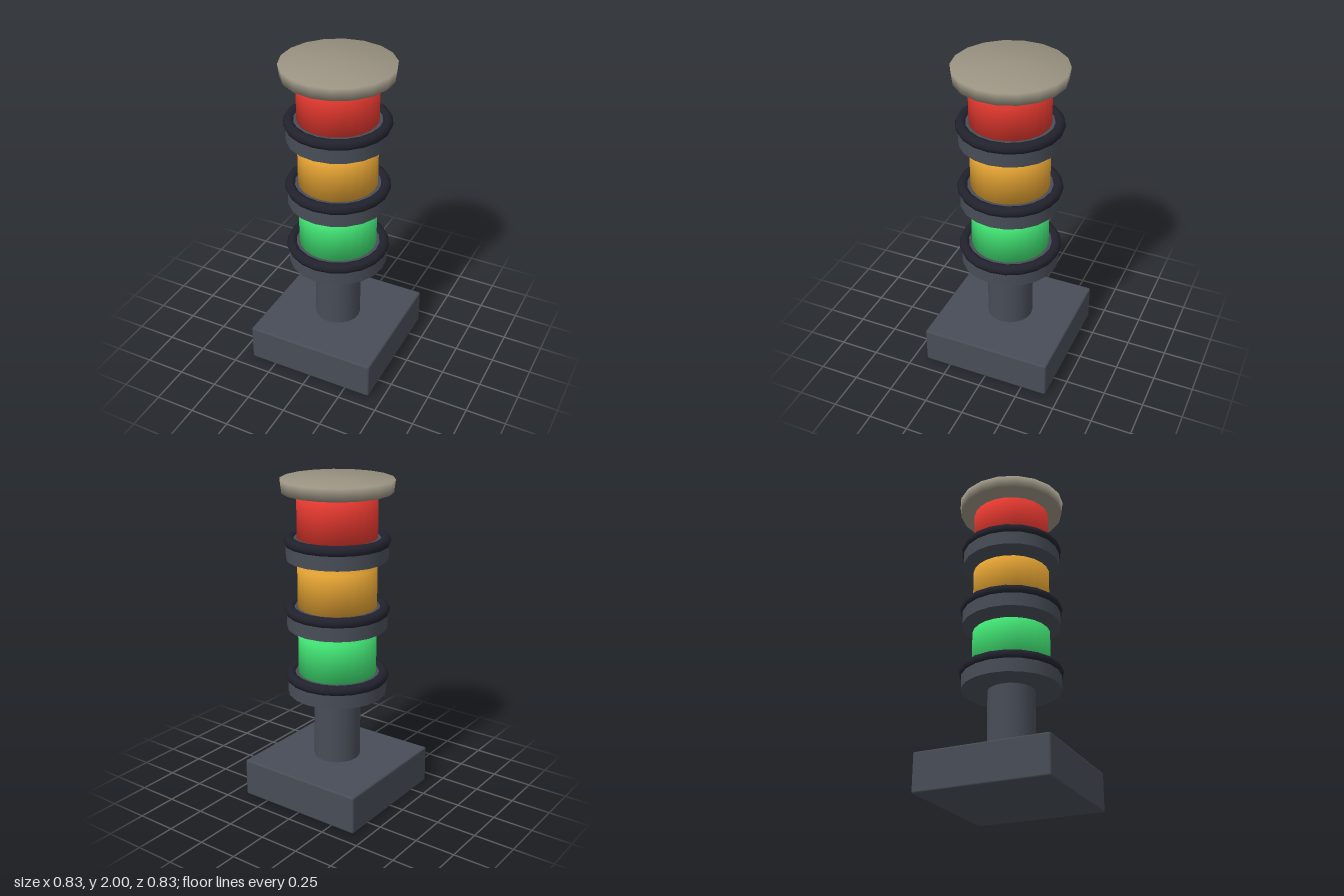
import * as THREE from 'three';
import { mergeVertices } from 'three/addons/utils/BufferGeometryUtils.js';
import { RoundedBoxGeometry } from 'three/addons/geometries/RoundedBoxGeometry.js';

const flat = (name, color) => {
  const m = new THREE.MeshStandardMaterial({ color });
  m.name = name;
  return m;
};

// Weld the edges so that normals run softly across them
function soften(geometry) {
  geometry.deleteAttribute('normal');
  geometry.deleteAttribute('uv');
  const g = mergeVertices(geometry, 1e-4);
  g.computeVertexNormals();
  return g;
}

export function createModel() {
  const model = new THREE.Group();
  model.name = 'signalTower';

  const slate = flat('slate', 0x484d57);
  const rubber = flat('black rubber', 0x22222e);
  const stone = flat('warm grey', 0x9a9382);
  const lamps = [
    ['green', flat('green', 0x40e072)],
    ['amber', flat('amber', 0xe0a032)],
    ['red', flat('red', 0xe5392f)],
  ];

  const add = (parent, name, geometry, material, y) => {
    const mesh = new THREE.Mesh(geometry, material);
    mesh.name = name;
    mesh.position.y = y;
    parent.add(mesh);
    return mesh;
  };
  // Closed cylinder between two heights
  const drum = (parent, name, rTop, rBottom, y0, y1, sides, material, soft) => {
    const g = new THREE.CylinderGeometry(rTop, rBottom, y1 - y0, sides);
    return add(parent, name, soft ? soften(g) : g, material, (y0 + y1) / 2);
  };

  // Square foot and post
  add(model, 'base', new RoundedBoxGeometry(0.83, 0.24, 0.83, 1, 0.012), slate, 0.12);
  drum(model, 'post', 0.145, 0.145, 0.25, 0.68, 20, slate, false);

  // Three lamp tiers, each a collar, a rubber ring and a coloured lens
  lamps.forEach(([name, material], i) => {
    const tier = new THREE.Group();
    tier.name = name + 'Tier';
    tier.position.y = i * 0.422;
    drum(tier, 'collar', 0.305, 0.305, 0.685, 0.81, 20, slate, false);
    const ring = add(tier, 'ring', new THREE.TorusGeometry(0.286, 0.033, 8, 20), rubber, 0.795);
    ring.rotation.x = Math.PI / 2;
    drum(tier, 'lens', 0.24, 0.24, 0.815, 1.061, 24, material, true);
    model.add(tier);
  });

  // Flat cap with a slightly tapered rim
  drum(model, 'cap', 0.337, 0.328, 1.925, 2, 18, stone, true);

  return model;
}
